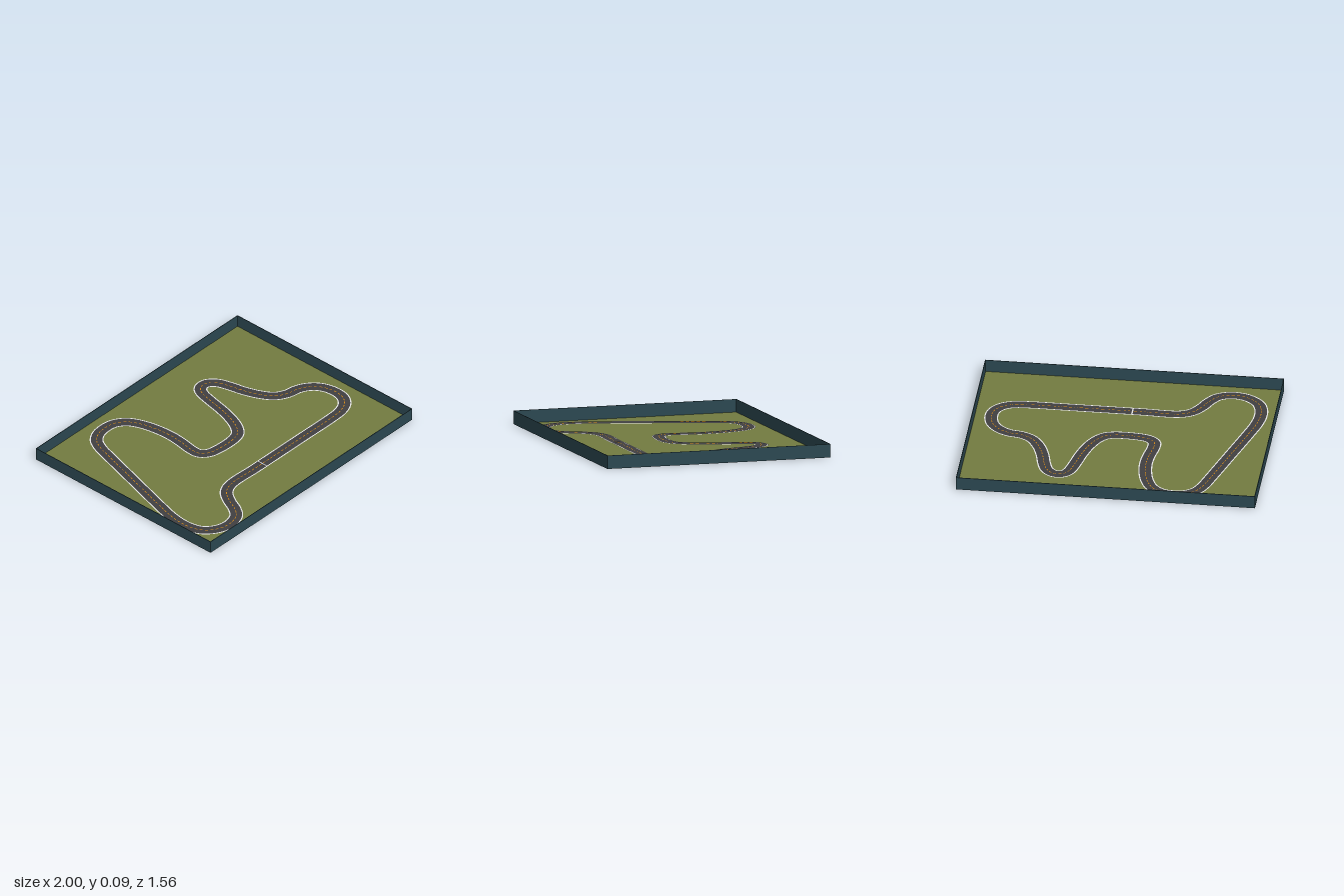
import * as THREE from 'three';
import { mergeGeometries } from 'three/addons/utils/BufferGeometryUtils.js';

const W = 2, D = 1.56, H = 0.09, T = 0.004;

// Centre line of the circuit as x, z pairs
const PATH = [
  [0.64, 0.374], [0.4, 0.374], [0.15, 0.374], [-0.1, 0.374], [-0.35, 0.374], [-0.43, 0.41],
  [-0.487, 0.484], [-0.53, 0.57], [-0.583, 0.634], [-0.674, 0.663], [-0.77, 0.644], [-0.85, 0.58],
  [-0.882, 0.5], [-0.888, 0.404], [-0.872, 0.297], [-0.84, 0.18], [-0.745, -0.14], [-0.652, -0.452],
  [-0.625, -0.537], [-0.583, -0.612], [-0.519, -0.655], [-0.438, -0.668], [-0.358, -0.655],
  [-0.289, -0.602], [-0.246, -0.516], [-0.219, -0.398], [-0.211, -0.281], [-0.219, -0.184],
  [-0.235, -0.078], [-0.23, -0.013], [-0.187, 0.029], [-0.107, 0.048], [0.032, 0.05], [0.102, 0.029],
  [0.155, -0.029], [0.198, -0.12], [0.23, -0.227], [0.257, -0.356], [0.283, -0.452], [0.31, -0.49],
  [0.348, -0.506], [0.39, -0.497], [0.433, -0.452], [0.46, -0.377], [0.487, -0.259], [0.529, -0.147],
  [0.583, -0.067], [0.658, -0.024], [0.738, -0.008], [0.807, 0.029], [0.861, 0.094], [0.885, 0.19],
  [0.872, 0.275], [0.824, 0.334], [0.749, 0.366],
];
const curve = new THREE.CatmullRomCurve3(PATH.map(([x, z]) => new THREE.Vector3(x, 0, z)), true);
curve.arcLengthDivisions = 1500;

// Flat strip between two offsets from the centre line, over part of the lap
function ribbon(from, to, y, t0 = 0, t1 = 1, steps = 500) {
  const pos = [], index = [];
  for (let i = 0; i <= steps; i++) {
    const t = (t0 + (t1 - t0) * i / steps) % 1;
    const p = curve.getPointAt(t), d = curve.getTangentAt(t);
    for (const o of [from, to]) pos.push(p.x + d.z * o, y, p.z - d.x * o);
    if (i < steps) {
      const a = i * 2;
      index.push(a, a + 2, a + 1, a + 1, a + 2, a + 3);
    }
  }
  const g = new THREE.BufferGeometry();
  g.setAttribute('position', new THREE.Float32BufferAttribute(pos, 3));
  g.setIndex(index);
  g.computeVertexNormals();
  return g;
}

export function createModel() {
  const group = new THREE.Group();
  const material = (name, color) => {
    const m = new THREE.MeshStandardMaterial({ color, side: THREE.DoubleSide });
    m.name = name;
    return m;
  };
  const grass = material('olive grass', 0x737c40);
  const wall = material('slate wall', 0x2c4851);
  const asphalt = material('dark asphalt', 0x403f42);
  const white = material('line white', 0xe4e4e4);
  const orange = material('dash orange', 0xd98a12);
  const add = (name, geometry, mat, x = 0, y = 0, z = 0) => {
    const mesh = new THREE.Mesh(geometry, mat);
    mesh.name = name;
    mesh.position.set(x, y, z);
    group.add(mesh);
  };

  // Ground plate and the thin walls round it
  add('ground', new THREE.BoxGeometry(W - 2 * T, 0.003, D - 2 * T), grass, 0, 0.0015, 0);
  for (const s of [-1, 1]) {
    add(s > 0 ? 'leftWall' : 'rightWall', new THREE.BoxGeometry(T, H, D), wall, s * (W - T) / 2, H / 2, 0);
    add(s > 0 ? 'frontWall' : 'backWall', new THREE.BoxGeometry(W - 2 * T, H, T), wall, 0, H / 2, s * (D - T) / 2);
  }

  // Road with a line along each edge; positive offsets lie to the left of travel
  const half = 0.038, edge = 0.046;
  add('road', ribbon(half, -half, 0.005).toNonIndexed(), asphalt);
  add('outerEdgeLine', ribbon(edge, half, 0.005), white);
  add('innerEdgeLine', ribbon(-half, -edge, 0.005), white);

  // Dashed centre line
  const count = Math.round(curve.getLength() / 0.036), dashes = [];
  for (let i = 0; i < count; i++) {
    dashes.push(ribbon(0.0025, -0.0025, 0.0065, i / count, (i + 0.6) / count, 2));
  }
  add('centreDashes', mergeGeometries(dashes), orange);

  // Start line across the front straight
  add('startLine', new THREE.BoxGeometry(0.009, 0.002, 2 * half), white, -0.037, 0.0065, 0.374);

  // Every strip must face up
  group.traverse((o) => {
    if (!o.isMesh || o.geometry.type !== 'BufferGeometry') return;
    const n = o.geometry.attributes.normal;
    if (n.getY(0) < 0) {
      o.geometry = o.geometry.index ? o.geometry.toNonIndexed() : o.geometry;
      const p = o.geometry.attributes.position;
      for (let i = 0; i < p.count; i += 3) {
        const a = new THREE.Vector3().fromBufferAttribute(p, i + 1);
        const b = new THREE.Vector3().fromBufferAttribute(p, i + 2);
        p.setXYZ(i + 1, b.x, b.y, b.z);
        p.setXYZ(i + 2, a.x, a.y, a.z);
      }
      o.geometry.computeVertexNormals();
    }
  });
  return group;
}
